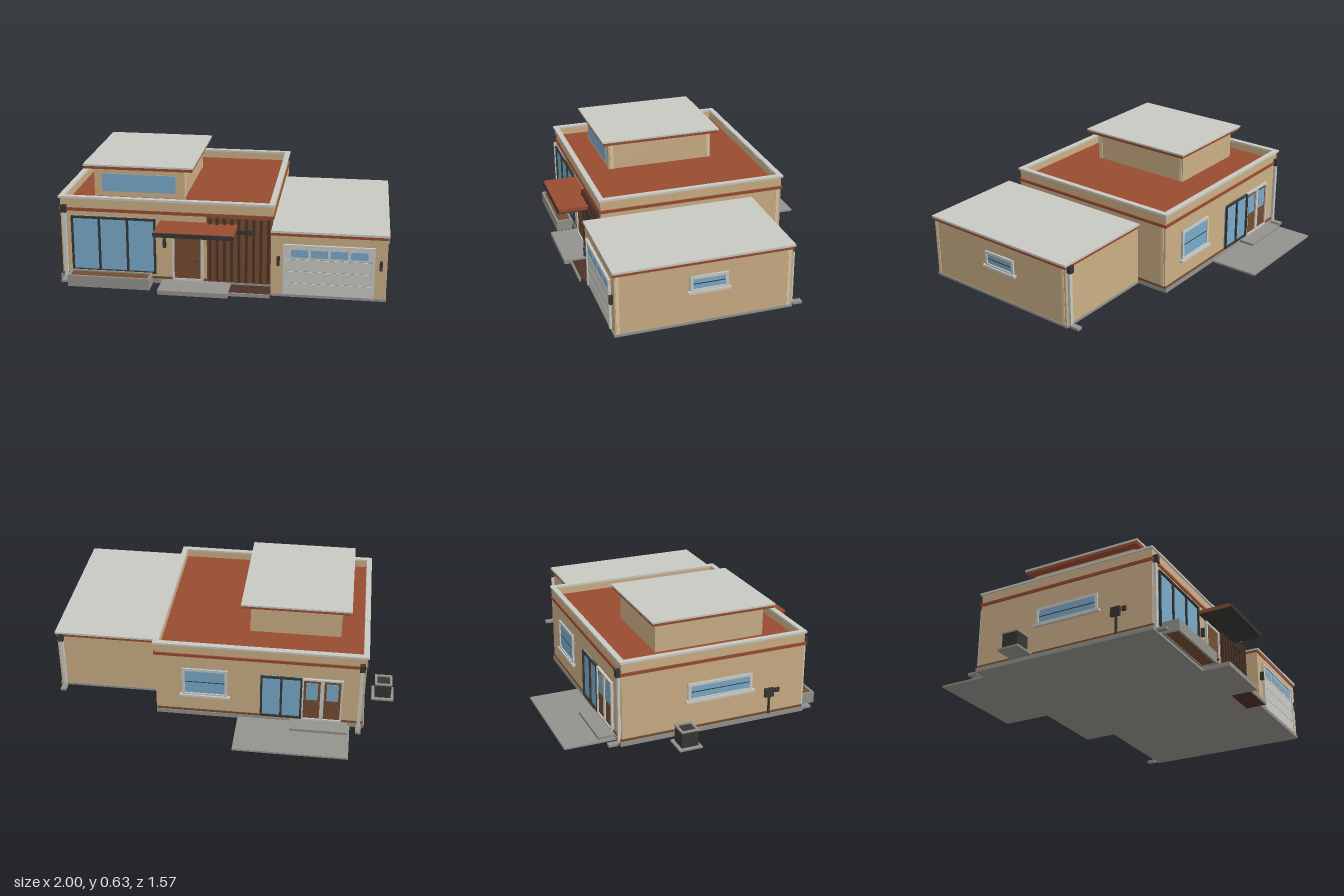
import * as THREE from 'three';

const mat = (name, color) => Object.assign(new THREE.MeshStandardMaterial({ color }), { name });

export function createModel() {
  const stucco = mat('tan stucco', 0xcbae86);
  const cream = mat('cream trim', 0xdcc6a2);
  const red = mat('terracotta', 0x984b31);
  const pale = mat('pale grey', 0xc9c9c4);
  const concrete = mat('concrete', 0x94928d);
  const dark = mat('charcoal metal', 0x363634);
  const glass = mat('glass', 0x7aaaca);
  const wood = mat('wood', 0x754c31);
  const darkWood = mat('dark wood', 0x4c3328);

  const model = new THREE.Group();
  model.name = 'house';

  // Box given by its extents on each axis
  const box = (name, m, x0, x1, y0, y1, z0, z1, parent = model) => {
    const mesh = new THREE.Mesh(new THREE.BoxGeometry(x1 - x0, y1 - y0, z1 - z0), m);
    mesh.position.set((x0 + x1) / 2, (y0 + y1) / 2, (z0 + z1) / 2);
    mesh.name = name;
    parent.add(mesh);
    return mesh;
  };

  // Rectangular ring lying flat, with wall thickness t
  const ring = (name, m, x0, x1, y0, y1, z0, z1, t) => {
    const rect = (P, a, b, c, d) => new P([[a, c], [b, c], [b, d], [a, d]].map(p => new THREE.Vector2(...p)));
    const shape = rect(THREE.Shape, x0, x1, -z1, -z0);
    shape.holes.push(rect(THREE.Path, x0 + t, x1 - t, -z1 + t, -z0 - t));
    const geo = new THREE.ExtrudeGeometry(shape, { depth: y1 - y0, bevelEnabled: false });
    geo.rotateX(-Math.PI / 2);
    const mesh = new THREE.Mesh(geo, m);
    mesh.position.y = y0;
    mesh.name = name;
    model.add(mesh);
  };

  // Group lying on a wall: local +z points out of the wall
  const onWall = (name, x, z, turn) => {
    const g = new THREE.Group();
    g.name = name;
    g.position.set(x, 0, z);
    g.rotation.y = turn;
    model.add(g);
    return g;
  };

  // Frame of four bars around an opening, t wide and d deep
  const frame = (g, m, x0, x1, y0, y1, t, d) => {
    box('frameLeft', m, x0, x0 + t, y0, y1, 0, d, g);
    box('frameRight', m, x1 - t, x1, y0, y1, 0, d, g);
    box('frameTop', m, x0 + t, x1 - t, y1 - t, y1, 0, d, g);
    box('frameBottom', m, x0 + t, x1 - t, y0, y0 + t, 0, d, g);
  };

  // Pale framed window with a sill and one cross bar
  const sillWindow = (name, x, z, turn, w, y0, y1) => {
    const g = onWall(name, x, z, turn);
    const h = w / 2, mid = (y0 + y1) / 2;
    box('pane', glass, -h, h, y0, y1, 0, 0.005, g);
    frame(g, pale, -h, h, y0, y1, 0.016, 0.012);
    box('crossBar', dark, -h + 0.016, h - 0.016, mid - 0.002, mid + 0.002, 0, 0.007, g);
    box('sill', pale, -h - 0.014, h + 0.014, y0 - 0.008, y0 + 0.006, 0, 0.02, g);
  };

  // Dark framed glazing in equal panes
  const glazing = (name, x, z, turn, w, y0, y1, panes) => {
    const g = onWall(name, x, z, turn);
    const h = w / 2;
    box('panes', glass, -h, h, y0, y1, 0, 0.006, g);
    frame(g, dark, -h, h, y0, y1, 0.011, 0.016);
    for (let i = 1; i < panes; i++) {
      const px = -h + (w * i) / panes;
      box('mullion', dark, px - 0.006, px + 0.006, y0, y1, 0, 0.015, g);
    }
  };

  // Main block with parapet and sunken roof
  box('foundation', concrete, -0.83, 0.36, 0, 0.025, -0.498, 0.592);
  box('baseBand', wood, -0.824, 0.36, 0.025, 0.038, -0.494, 0.588);
  box('mainWalls', stucco, -0.82, 0.36, 0.025, 0.43, -0.49, 0.583);
  ring('parapet', stucco, -0.82, 0.36, 0.43, 0.475, -0.49, 0.583, 0.022);
  ring('parapetCap', pale, -0.83, 0.37, 0.474, 0.486, -0.5, 0.592, 0.031);
  box('mainRoof', red, -0.798, 0.338, 0.43, 0.434, -0.468, 0.561);
  box('mainBand', red, -0.827, 0.367, 0.403, 0.42, -0.497, 0.59);

  // Raised upper room
  box('upperWalls', stucco, -0.67, -0.155, 0.43, 0.605, -0.24, 0.4);
  box('upperFascia', red, -0.715, -0.105, 0.603, 0.62, -0.27, 0.44);
  box('upperRoof', pale, -0.722, -0.1, 0.62, 0.63, -0.277, 0.446);
  box('upperWindow', glass, -0.625, -0.205, 0.465, 0.567, 0.4, 0.406);

  // Garage block
  box('garageBase', concrete, 0.36, 0.98, 0, 0.014, -0.305, 0.68);
  box('garageWalls', stucco, 0.36, 0.975, 0.014, 0.35, -0.3, 0.675);
  box('garageBand', red, 0.36, 0.979, 0.347, 0.365, -0.304, 0.679);
  box('garageRoof', pale, 0.36, 0.985, 0.364, 0.376, -0.31, 0.685);

  // Light corner strips on the side walls
  for (const [x, y0, y1, z] of [[0.975, 0.014, 0.347, 0.66], [0.975, 0.014, 0.347, -0.28],
    [0.36, 0.038, 0.403, -0.47], [-0.155, 0.434, 0.603, 0.38], [-0.155, 0.434, 0.603, -0.225]])
    box('cornerStrip', cream, x, x + 0.003, y0, y1, z - 0.009, z + 0.009);

  // Garage door
  const gd = onWall('garageDoor', 0.67, 0.675, 0);
  box('doorBacking', concrete, -0.23, 0.23, 0.014, 0.287, 0, 0.004, gd);
  for (let i = 0; i < 4; i++)
    box('doorPanel', pale, -0.229, 0.229, 0.016 + i * 0.068, 0.081 + i * 0.068, 0, 0.008, gd);
  for (let i = 0; i < 4; i++)
    box('doorPane', glass, -0.202 + i * 0.106, -0.112 + i * 0.106, 0.232, 0.274, 0.008, 0.011, gd);
  box('doorJambLeft', pale, -0.244, -0.229, 0.014, 0.302, 0, 0.014, gd);
  box('doorJambRight', pale, 0.229, 0.244, 0.014, 0.302, 0, 0.014, gd);
  box('doorHead', pale, -0.244, 0.244, 0.288, 0.302, 0, 0.015, gd);

  // Wall lamps
  for (const [x, y, z] of [[0.4, 0.205, 0.675], [0.945, 0.205, 0.675], [-0.235, 0.24, 0.583]])
    box('wallLamp', dark, x - 0.008, x + 0.008, y - 0.025, y + 0.025, z, z + 0.02);

  // Windows
  glazing('frontWindow', -0.522, 0.583, 0, 0.475, 0.055, 0.375, 3);
  glazing('backSlider', -0.355, -0.49, Math.PI, 0.235, 0.035, 0.315, 2);
  sillWindow('garageWindow', 0.975, 0.17, Math.PI / 2, 0.21, 0.192, 0.283);
  sillWindow('leftWindow', -0.82, 0.075, -Math.PI / 2, 0.38, 0.19, 0.293);
  sillWindow('backWindow', 0.078, -0.49, Math.PI, 0.26, 0.142, 0.325);

  // Front door
  const fd = onWall('frontDoor', -0.107, 0.583, 0);
  box('doorLeaf', wood, -0.075, 0.075, 0.03, 0.32, 0, 0.01, fd);
  frame(fd, pale, -0.086, 0.086, 0.025, 0.332, 0.013, 0.017);
  const knob = new THREE.Mesh(new THREE.SphereGeometry(0.008, 12, 8), dark);
  knob.name = 'doorKnob';
  knob.position.set(0.053, 0.148, 0.017);
  fd.add(knob);

  // Half-glazed back doors
  const bd = onWall('backDoors', -0.585, -0.49, Math.PI);
  for (const x of [-0.0575, 0.0575]) {
    box('doorLeaf', wood, x - 0.05, x + 0.05, 0.03, 0.31, 0, 0.006, bd);
    box('doorPane', glass, x - 0.033, x + 0.033, 0.17, 0.285, 0.006, 0.009, bd);
    frame(bd, pale, x - 0.0575, x + 0.0575, 0.028, 0.315, 0.011, 0.014);
  }

  // Slatted wood screen
  box('screenPanel', wood, 0, 0.36, 0.038, 0.402, 0.583, 0.592);
  for (let i = 0; i < 9; i++)
    box('screenSlat', darkWood, 0.012 + i * 0.04, 0.026 + i * 0.04, 0.038, 0.402, 0.592, 0.61);
  box('namePlate', dark, 0.15, 0.25, 0.318, 0.342, 0.61, 0.618);

  // Entrance canopy
  box('canopy', red, -0.26, 0.17, 0.347, 0.367, 0.583, 0.776);
  box('canopyEdge', dark, -0.262, 0.172, 0.342, 0.365, 0.776, 0.782);
  box('canopySoffit', dark, -0.26, 0.17, 0.342, 0.347, 0.583, 0.776);

  // Front step, planter and planting bed
  box('frontStep', concrete, -0.25, 0.135, 0, 0.025, 0.592, 0.752);
  ring('planter', concrete, -0.762, -0.303, 0, 0.065, 0.605, 0.702, 0.012);
  box('planterSoil', wood, -0.75, -0.315, 0.003, 0.058, 0.617, 0.69);
  box('bedSoil', darkWood, 0.135, 0.36, 0, 0.015, 0.592, 0.708);
  box('bedEdge', concrete, 0.135, 0.36, 0, 0.018, 0.708, 0.718);

  // Back patio and step
  box('patio', concrete, -0.75, -0.11, 0, 0.011, -0.785, -0.498);
  box('backStep', concrete, -0.735, -0.412, 0.011, 0.027, -0.59, -0.498);

  // Downspouts with scupper boxes and splash blocks
  for (const [x, z, s, top] of [[-0.798, 0.583, 1, 0.437], [-0.798, -0.49, -1, 0.437], [0.95, -0.3, -1, 0.365]]) {
    const g = onWall('downspout', x, z, s > 0 ? 0 : Math.PI);
    box('pipe', pale, -0.01, 0.01, 0.014, top - 0.04, 0, 0.016, g);
    box('scupper', dark, -0.015, 0.015, top - 0.042, top, 0, 0.026, g);
    box('splashBlock', concrete, -0.016, 0.016, 0, 0.014, 0.016, 0.07, g);
  }

  // Utility meter on the left wall
  box('meterBox', dark, -0.837, -0.82, 0.13, 0.18, 0.345, 0.4);
  box('meterPipe', dark, -0.832, -0.82, 0.025, 0.13, 0.37, 0.38);
  box('meterSideBox', dark, -0.832, -0.82, 0.15, 0.175, 0.41, 0.435);

  // Cooling unit on a pad
  box('unitPad', concrete, -1, -0.87, 0, 0.01, -0.235, -0.105);
  box('unitBody', dark, -0.982, -0.888, 0.01, 0.098, -0.217, -0.123);
  ring('unitRim', concrete, -0.985, -0.885, 0.097, 0.106, -0.22, -0.12, 0.013);

  return model;
}
